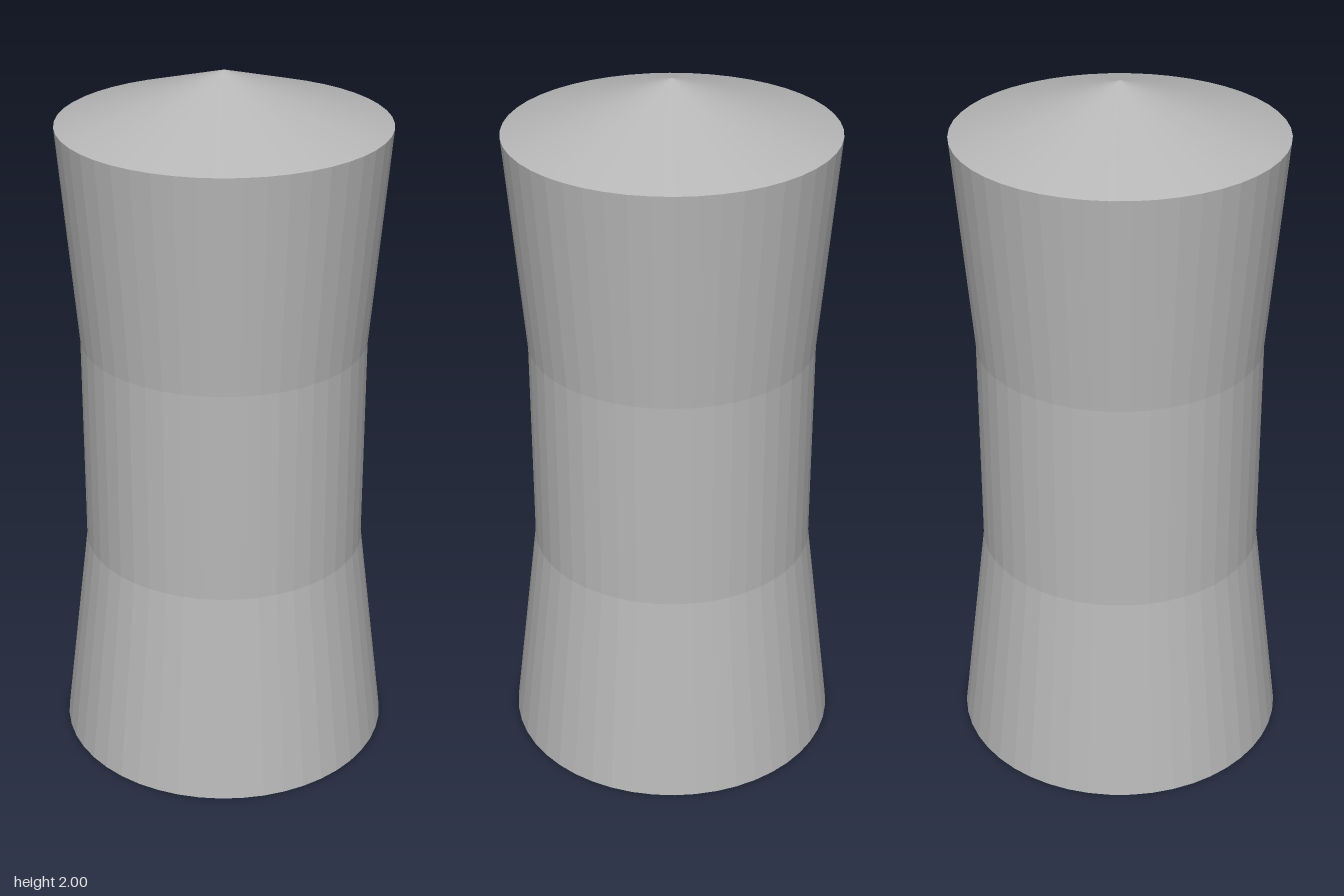
import * as THREE from 'three';

const SEGMENTS = 48;

export function createModel() {
  const group = new THREE.Group();
  group.name = 'waistedPost';
  const grey = new THREE.MeshStandardMaterial({ color: 0xb8b8b8 });
  grey.name = 'grey';

  // One facet ring of the post between two heights
  const addSection = (name, rBottom, rTop, y0, y1) => {
    const geometry = new THREE.CylinderGeometry(rTop, rBottom, y1 - y0, SEGMENTS, 1, true).toNonIndexed();
    geometry.computeVertexNormals(); // flat facets
    geometry.translate(0, (y0 + y1) / 2, 0);
    const mesh = new THREE.Mesh(geometry, grey);
    mesh.name = name;
    group.add(mesh);
  };

  addSection('flaredBase', 0.477, 0.402, 0, 0.62);
  addSection('straightWaist', 0.402, 0.402, 0.62, 1.24);
  addSection('flaredTop', 0.402, 0.453, 1.24, 1.857);

  // Shallow conical cap
  const cap = new THREE.Mesh(new THREE.ConeGeometry(0.453, 0.143, SEGMENTS, 1, true), grey);
  cap.name = 'conicalCap';
  cap.position.y = 1.857 + 0.143 / 2;
  group.add(cap);

  // Flat underside
  const underside = new THREE.Mesh(new THREE.CircleGeometry(0.477, SEGMENTS), grey);
  underside.name = 'underside';
  underside.rotation.x = Math.PI / 2;
  group.add(underside);

  return group;
}
